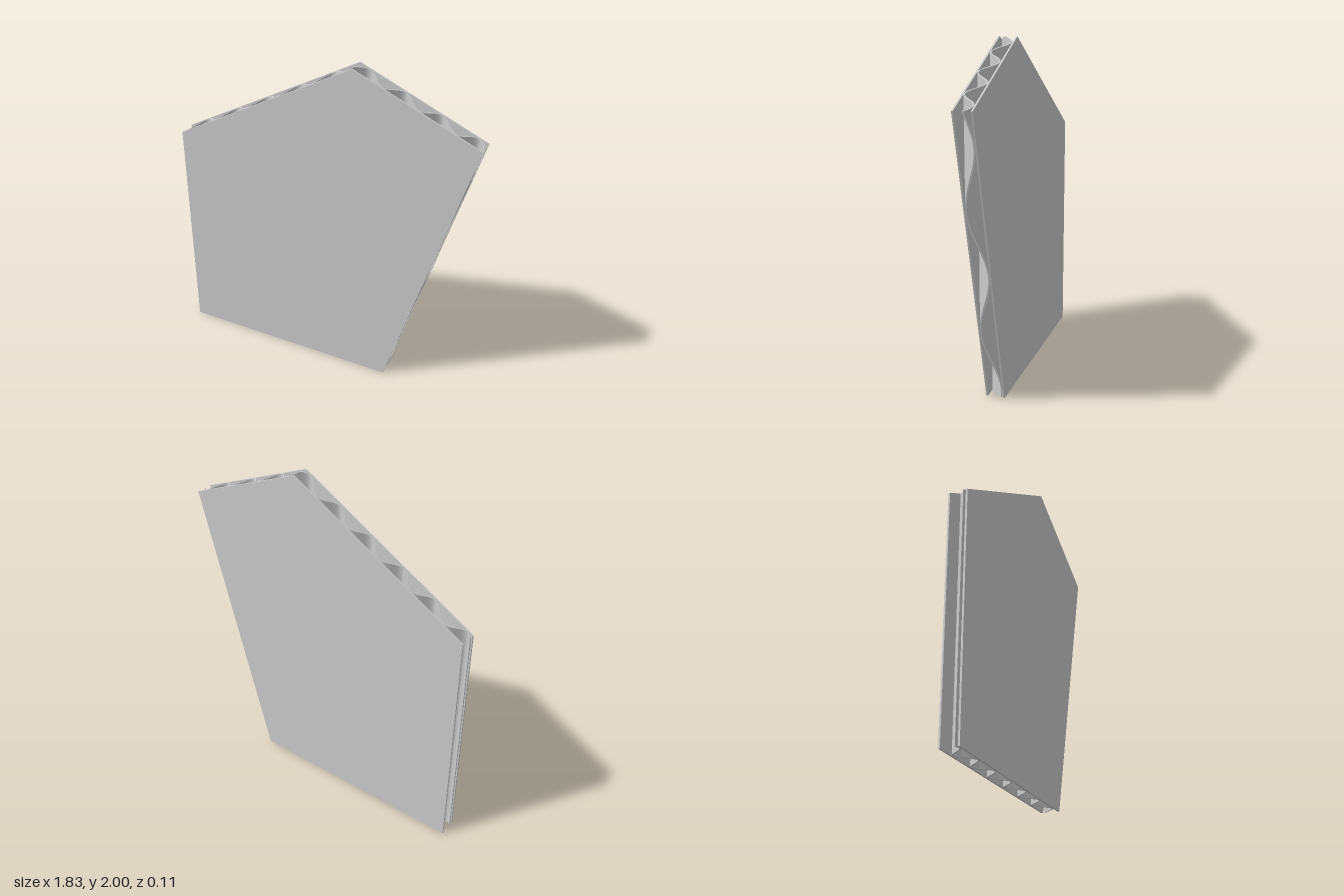
import * as THREE from 'three';
import { toCreasedNormals } from 'three/addons/utils/BufferGeometryUtils.js';

// Pentagonal outline of the board
const OUTLINE = [[-0.915, 0], [0.43, 0], [0.91, 1.69], [0.18, 2], [-0.915, 1.38]];
const X_MIN = -0.915, X_MAX = 0.91;
const SHEET = 0.01, HALF_DEPTH = 0.055;

// Corrugation wave
const PERIOD = 0.2055, PHASE = 0.785, AMPLITUDE = 0.041, HALF_THICK = 0.0035;

const lerpY = (x, a, b) => a[1] + (b[1] - a[1]) * (x - a[0]) / (b[0] - a[0]);
const [A, B, C, D, E] = OUTLINE;
const bottomY = (x) => (x < B[0] ? 0 : lerpY(x, B, C));
const topY = (x) => (x < D[0] ? lerpY(x, E, D) : lerpY(x, D, C));

// Wavy strip of constant thickness, trimmed to the outline
function corrugationGeometry() {
  const xs = [B[0], D[0]];
  const steps = 288;
  for (let i = 0; i <= steps; i++) xs.push(X_MIN + (X_MAX - X_MIN) * i / steps);
  xs.sort((a, b) => a - b);

  const k = 2 * Math.PI / PERIOD;
  const positions = [], index = [];
  const quad = (a, b, c, d) => index.push(a, b, c, a, c, d);

  xs.forEach((x, i) => {
    const z = -AMPLITUDE * Math.cos(k * (x + PHASE));
    const slope = AMPLITUDE * k * Math.sin(k * (x + PHASE));
    const len = Math.hypot(1, slope);
    const point = (side) => [
      THREE.MathUtils.clamp(x - side * HALF_THICK * slope / len, X_MIN, X_MAX),
      z + side * HALF_THICK / len,
    ];
    const [fx, fz] = point(1), [bx, bz] = point(-1);
    // ring: front bottom, front top, back top, back bottom
    positions.push(fx, bottomY(fx), fz, fx, topY(fx), fz);
    positions.push(bx, topY(bx), bz, bx, bottomY(bx), bz);
    if (i === 0) return;
    const p = (i - 1) * 4, q = i * 4;
    for (let j = 0; j < 4; j++) {
      const n = (j + 1) % 4;
      quad(p + j, q + j, q + n, p + n);
    }
  });
  // end caps
  const last = (xs.length - 1) * 4;
  quad(3, 0, 1, 2);
  quad(last, last + 3, last + 2, last + 1);

  const geometry = new THREE.BufferGeometry();
  geometry.setAttribute('position', new THREE.Float32BufferAttribute(positions, 3));
  geometry.setIndex(index);
  return toCreasedNormals(geometry, 0.6);
}

export function createModel() {
  const group = new THREE.Group();
  group.name = 'corrugatedBoard';
  const material = new THREE.MeshStandardMaterial({ color: 0xcccccc });

  // Flat facing sheets
  const shape = new THREE.Shape(OUTLINE.map(([x, y]) => new THREE.Vector2(x, y)));
  const sheetGeometry = new THREE.ExtrudeGeometry(shape, { depth: SHEET, bevelEnabled: false });
  for (const [name, z] of [['frontSheet', HALF_DEPTH - SHEET], ['backSheet', -HALF_DEPTH]]) {
    const sheet = new THREE.Mesh(sheetGeometry, material);
    sheet.name = name;
    sheet.position.z = z;
    group.add(sheet);
  }

  // Wavy core between the sheets
  const coreMaterial = material.clone();
  coreMaterial.side = THREE.DoubleSide;
  const core = new THREE.Mesh(corrugationGeometry(), coreMaterial);
  core.name = 'corrugatedCore';
  group.add(core);

  return group;
}
